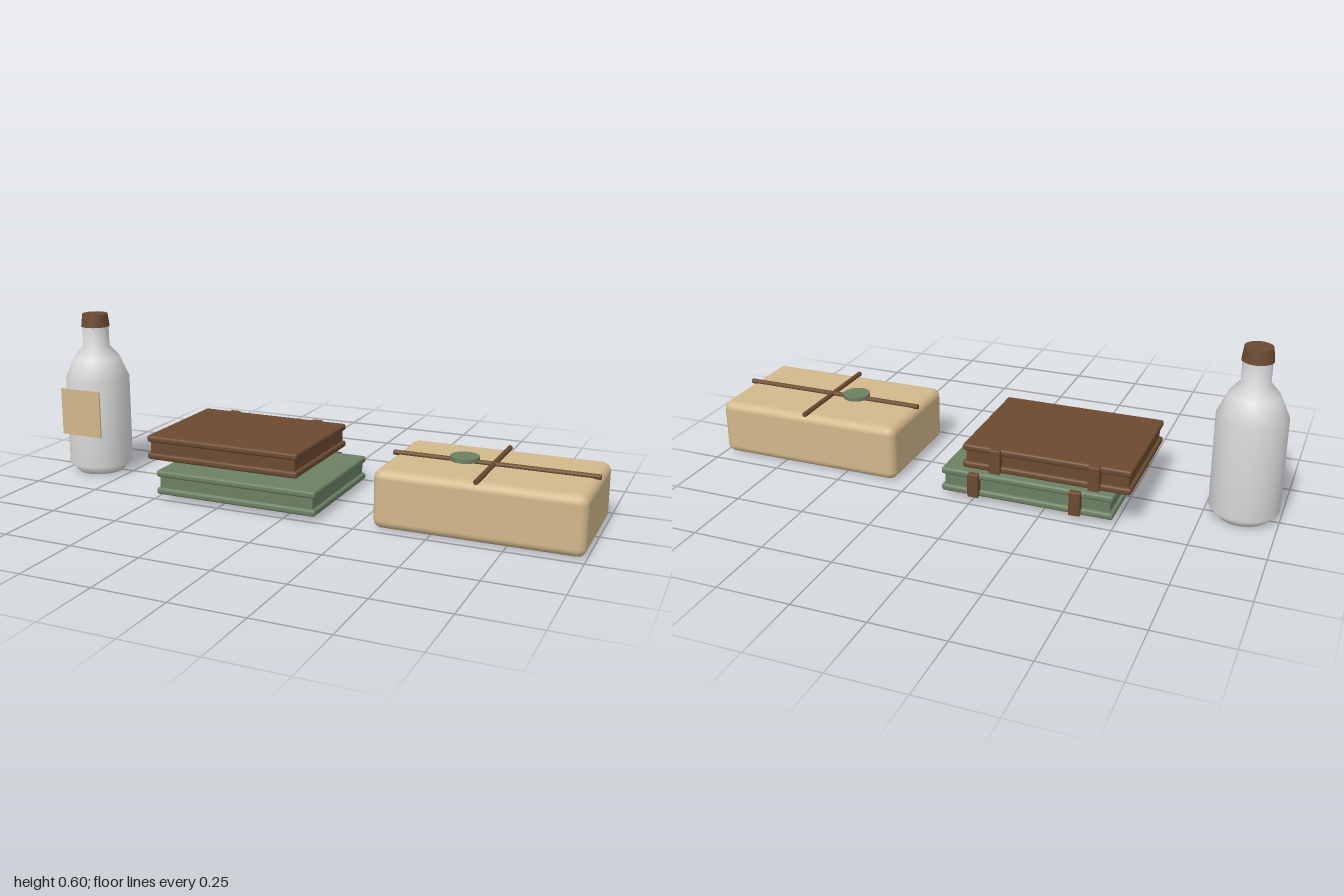
import * as THREE from 'three';
import { RoundedBoxGeometry } from 'three/addons/geometries/RoundedBoxGeometry.js';

function material(name, color) {
  const m = new THREE.MeshStandardMaterial({ color });
  m.name = name;
  return m;
}

export function createModel() {
  const tan = material('tan paper', 0xd2b88a);
  const brown = material('brown leather', 0x6b4a2f);
  const green = material('green cloth', 0x6b8062);
  const glass = material('pale glass', 0xdadada);

  const model = new THREE.Group();
  model.name = 'parcelBooksAndBottle';

  const add = (parent, name, geometry, mat, x, y, z) => {
    const mesh = new THREE.Mesh(geometry, mat);
    mesh.name = name;
    mesh.position.set(x, y, z);
    parent.add(mesh);
    return mesh;
  };
  const group = (name, x, y, z) => {
    const g = new THREE.Group();
    g.name = name;
    g.position.set(x, y, z);
    model.add(g);
    return g;
  };

  // Bottle: turned body, tapered stopper and flat paper label
  const bottle = group('bottle', -0.88, 0, 0.014);
  const profile = [
    [0, 0], [0.085, 0], [0.117, 0.035], [0.117, 0.36],
    [0.084, 0.435], [0.048, 0.477], [0.048, 0.56],
  ].map(([r, y]) => new THREE.Vector2(r, y));
  add(bottle, 'bottleBody', new THREE.LatheGeometry(profile, 32), glass, 0, 0, 0);
  add(bottle, 'stopper', new THREE.CylinderGeometry(0.046, 0.052, 0.047, 32), brown, 0, 0.574, 0);
  add(bottle, 'label', new THREE.BoxGeometry(0.165, 0.174, 0.006), tan, 0, 0.243, 0.116);

  // Books: two rounded covers, an inset block and two bands over the spine
  const book = (name, mat, width, depth, x, y, z, bandXs) => {
    const g = group(name, x, y, z);
    const cover = new RoundedBoxGeometry(width, 0.024, depth, 3, 0.009);
    add(g, 'lowerCover', cover, mat, 0, 0.012, 0);
    add(g, 'upperCover', cover, mat, 0, 0.075, 0);
    add(g, 'pageBlock', new THREE.BoxGeometry(width - 0.022, 0.05, depth - 0.022), mat, 0, 0.0435, 0);
    const band = new RoundedBoxGeometry(0.04, 0.086, 0.026, 2, 0.004);
    for (const bx of bandXs) add(g, 'spineBand', band, brown, bx - x, 0.0435, -depth / 2);
  };
  book('lowerBook', green, 0.607, 0.467, -0.19, 0.017, 0.014, [-0.366, -0.007]);
  book('upperBook', brown, 0.583, 0.438, -0.263, 0.126, -0.014, [-0.433, -0.091]);

  // Parcel: soft wrapped block with crossed string and a round seal
  const parcel = group('parcel', 0.65, 0, 0.014);
  add(parcel, 'wrapping', new RoundedBoxGeometry(0.692, 0.2, 0.42, 4, 0.03), tan, 0, 0.1, 0);
  const longString = add(parcel, 'longString', new THREE.CylinderGeometry(0.009, 0.009, 0.692, 12), brown, 0, 0.204, 0);
  longString.rotation.z = Math.PI / 2;
  const crossString = add(parcel, 'crossString', new THREE.CylinderGeometry(0.009, 0.009, 0.422, 12), brown, 0, 0.204, 0);
  crossString.rotation.x = Math.PI / 2;
  add(parcel, 'seal', new THREE.CylinderGeometry(0.049, 0.049, 0.014, 24), green, -0.098, 0.214, 0);

  return model;
}
